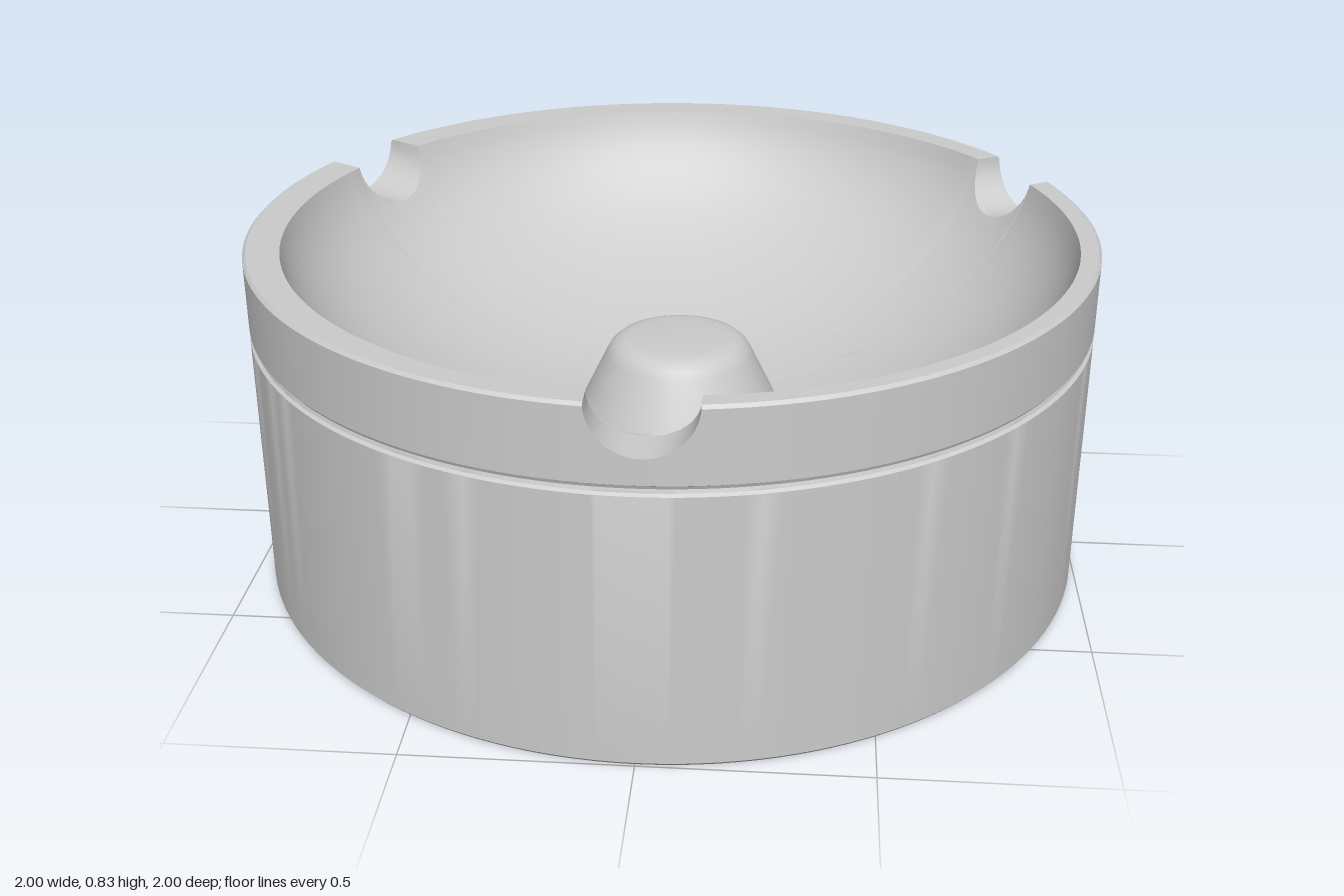
import * as THREE from 'three';
import { toCreasedNormals } from 'three/addons/utils/BufferGeometryUtils.js';

const TOP = 0.83;          // rim height
const C = 0.02;            // bowl axis sits slightly off centre (x = z = C)
const NOTCH = 0.113;       // notch radius
const BOWL = { a: 0.938, b: 0.53, yc: 0.9 }; // ellipsoid of the hollow
const TAU = Math.PI * 2;

const bowlRadius = (y) => BOWL.a * Math.sqrt(1 - ((BOWL.yc - y) / BOWL.b) ** 2);

// One column of the body: inner angle about the bowl axis, outer angle about the origin, top height
function notchColumn(theta, d) {
  const y = TOP - Math.sqrt(Math.max(0, NOTCH ** 2 - d ** 2));
  const n = [Math.sin(theta), Math.cos(theta)];
  const p = [Math.cos(theta), -Math.sin(theta)];
  const q = [C + p[0] * d, C + p[1] * d];
  const qn = q[0] * n[0] + q[1] * n[1];
  const t = -qn + Math.sqrt(qn * qn - (q[0] ** 2 + q[1] ** 2) + 1);
  return {
    inner: theta + Math.asin(d / bowlRadius(y)),
    outer: Math.atan2(q[0] + n[0] * t, q[1] + n[1] * t),
    y,
  };
}

// Columns all the way round: three half-round notches with plain rim between them
function makeColumns() {
  const columns = [];
  const ARC = 20, GAP = 44;
  for (let k = 0; k < 3; k++) {
    const theta = (k * TAU) / 3;
    for (let i = 0; i <= ARC; i++) {
      columns.push(notchColumn(theta, -NOTCH * Math.cos((Math.PI * i) / ARC)));
    }
    const from = columns[columns.length - 1];
    const to = notchColumn(theta + TAU / 3, -NOTCH);
    const sweep = (((to.outer - from.outer) % TAU) + TAU) % TAU;
    for (let i = 1; i < GAP; i++) {
      const f = i / GAP;
      columns.push({
        inner: from.inner + (to.inner - from.inner) * f,
        outer: from.outer + sweep * f,
        y: TOP,
      });
    }
  }
  return columns;
}

// Profile of one column: base centre, outer wall with groove, rim, hollow down to its middle
function columnPoints({ inner, outer, y }) {
  const points = [[0, 0, 0]];
  const wall = (r, h) => points.push([r * Math.sin(outer), h, r * Math.cos(outer)]);
  wall(0.993, 0);
  wall(1, 0.008);
  wall(1, 0.635);
  wall(0.993, 0.64);
  wall(0.99, 0.648);
  wall(0.993, 0.656);
  wall(1, 0.66);
  wall(1, Math.min(TOP - 0.007, y - 0.001));
  wall(1 - Math.max(0, y - (TOP - 0.007)), y);
  const ROWS = 26;
  const start = Math.acos((BOWL.yc - y) / BOWL.b);
  for (let i = 0; i <= ROWS; i++) {
    const phi = start * (1 - i / ROWS);
    const r = BOWL.a * Math.sin(phi);
    points.push([C + r * Math.sin(inner), BOWL.yc - BOWL.b * Math.cos(phi), C + r * Math.cos(inner)]);
  }
  return points;
}

function bodyGeometry() {
  const columns = makeColumns().map(columnPoints);
  const rows = columns[0].length;
  const index = [];
  columns.forEach((_, j) => {
    const a = j * rows;
    const b = ((j + 1) % columns.length) * rows;
    for (let i = 0; i < rows - 1; i++) {
      if (i < rows - 2) index.push(a + i, b + i + 1, a + i + 1);
      else index.push(a + i, b + i, a + i + 1);
      if (i > 0 && i < rows - 2) index.push(a + i, b + i, b + i + 1);
    }
  });
  const geometry = new THREE.BufferGeometry();
  geometry.setAttribute('position', new THREE.Float32BufferAttribute(columns.flat(2), 3));
  geometry.setIndex(index);
  return toCreasedNormals(geometry, 0.5);
}

export function createModel() {
  const material = new THREE.MeshStandardMaterial({ color: 0xcccccc });
  const group = new THREE.Group();
  group.name = 'ashtray';

  // Round body with groove, hollow and notches
  const body = new THREE.Mesh(bodyGeometry(), material);
  body.name = 'body';
  group.add(body);

  // Tapered knob with a rounded top in the middle of the hollow
  const profile = [
    [0.245, 0.365], [0.235, 0.387], [0.178, 0.505], [0.168, 0.522],
    [0.153, 0.535], [0.135, 0.542], [0.115, 0.545], [0, 0.545],
  ].map(([r, y]) => new THREE.Vector2(r, y));
  const knob = new THREE.Mesh(toCreasedNormals(new THREE.LatheGeometry(profile, 64), 0.6), material);
  knob.name = 'centreKnob';
  knob.position.set(C, 0, C);
  group.add(knob);

  return group;
}
